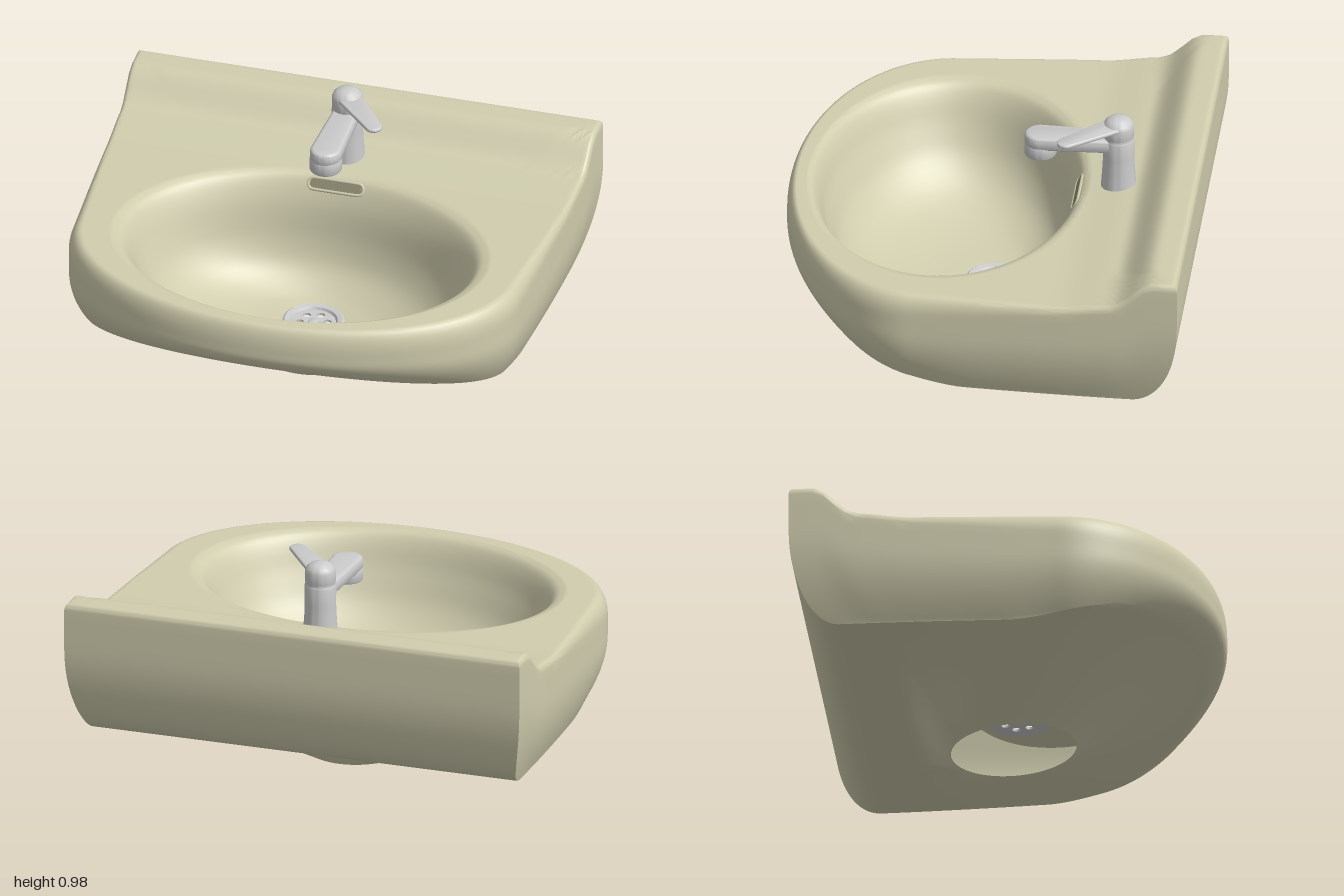
import * as THREE from 'three';
import { toCreasedNormals } from 'three/addons/utils/BufferGeometryUtils.js';

const smooth = THREE.MathUtils.smoothstep, lerp = THREE.MathUtils.lerp;
const ceramic = new THREE.MeshStandardMaterial({ color: 0xd0cdae, side: THREE.DoubleSide });
const metal = new THREE.MeshStandardMaterial({ color: 0xcccccc });

function add(parent, name, geometry, material, x = 0, y = 0, z = 0) {
  const mesh = new THREE.Mesh(geometry, material);
  mesh.name = name;
  mesh.position.set(x, y, z);
  parent.add(mesh);
  return mesh;
}

// Plan outline: half ellipse at the front, straight sides and back
function planOutline() {
  const pts = [], front = 64, side = 24, back = 40;
  for (let i = 0; i < front; i++) {
    const t = Math.PI * i / front;
    pts.push([0.965 * Math.cos(t), 0.25 + 0.61 * Math.sin(t)]);
  }
  for (let i = 0; i < side; i++) pts.push([-lerp(0.965, 1, Math.sin(i / side * Math.PI / 2)), lerp(0.25, -0.86, i / side)]);
  for (let i = 0; i < back; i++) pts.push([lerp(-1, 1, i / back), -0.86]);
  for (let i = side; i > 0; i--) pts.push([lerp(0.965, 1, Math.sin(i / side * Math.PI / 2)), lerp(0.25, -0.86, i / side)]);
  return pts;
}

// Height of the deck, rising to the ledge at the back
const deckY = z => 0.645 + 0.025 * smooth(-z, 0.35, 0.6) + 0.12 * smooth(-z, 0.58, 0.76);

// One continuous skin: bowl, deck, rounded edge, wall, underside
function basinGeometry() {
  const outline = planOutline(), n = outline.length, rings = [];
  const ring = fn => rings.push(outline.map(([X, Z]) => fn(X, Z)));
  const angle = (X, Z) => Math.atan2((Z - 0.2) / 0.58, X / 0.8);
  const shrink = (X, Z, k) => [X * (1 - k), 0.25 + (Z - 0.25) * (1 - k)];
  const rx = Z => 0.02 + 0.04 * smooth(Z, -0.6, 0.6);
  const ry = Z => 0.03 + 0.07 * smooth(Z, -0.6, 0.6);
  const bottomY = Z => 0.19 + 0.21 * Math.pow(Math.max(Z, 0) / 0.86, 1.5);

  // bowl: x radius, height, z radius
  const bowl = new THREE.CatmullRomCurve3([
    [0.11, 0.15, 0.11], [0.3, 0.18, 0.24], [0.5, 0.26, 0.39], [0.61, 0.36, 0.46],
    [0.67, 0.47, 0.495], [0.72, 0.58, 0.53], [0.755, 0.627, 0.555], [0.8, 0.645, 0.58],
  ].map(p => new THREE.Vector3(...p)));
  for (let j = 0; j <= 28; j++) {
    const p = bowl.getPoint(j / 28), zc = 0.2 * Math.min(1, (p.x - 0.11) / 0.58);
    ring((X, Z) => {
      const a = angle(X, Z);
      return [p.x * Math.cos(a), p.y, zc + p.z * Math.sin(a)];
    });
  }
  // deck
  for (let j = 1; j <= 30; j++) ring((X, Z) => {
    const a = angle(X, Z), [ex, ez] = shrink(X, Z, rx(Z));
    const z = lerp(0.2 + 0.58 * Math.sin(a), ez, j / 30);
    return [lerp(0.8 * Math.cos(a), ex, j / 30), deckY(z), z];
  });
  // rounded edge
  for (let j = 1; j <= 7; j++) ring((X, Z) => {
    const a = j / 7 * Math.PI / 2;
    const [x, z] = shrink(X, Z, rx(Z) * (1 - Math.sin(a)));
    return [x, deckY(z) - ry(Z) * (1 - Math.cos(a)), z];
  });
  // wall, tucking in towards the bottom
  const wall = (X, Z, t) => {
    const u = Math.max(0, (t - 0.3) / 0.7);
    const k = Z > 0.25 ? 0.13 * u * u : 0.18 * (1 - Math.sqrt(1 - u * u));
    return [X * (1 - 0.07 * u * u), lerp(deckY(Z) - ry(Z), bottomY(Z), t), 0.25 + (Z - 0.25) * (1 - k)];
  };
  for (let j = 1; j <= 20; j++) ring((X, Z) => wall(X, Z, Math.sin(j / 20 * Math.PI / 2)));
  // underside, dropping to the open foot
  for (let j = 1; j <= 20; j++) ring((X, Z) => {
    const f = j / 20, a = angle(X, Z), [x, y, z] = wall(X, Z, 1);
    const hz = 0.26 * Math.sin(a);
    const drop = lerp(lerp(f, f * f, 0.25), smooth(f, 0.5, 1.1) / smooth(1, 0.5, 1.1), smooth(-Z, 0.1, 0.8));
    return [lerp(x, 0.25 * Math.cos(a), f), lerp(y, 0.02 + 0.075 * hz, drop), lerp(z, hz - 0.02, f)];
  });

  const index = [];
  for (let j = 0; j < rings.length - 1; j++) for (let i = 0; i < n; i++) {
    const a = j * n + i, b = j * n + (i + 1) % n;
    index.push(a, b, a + n, b, b + n, a + n);
  }
  const g = new THREE.BufferGeometry();
  g.setAttribute('position', new THREE.Float32BufferAttribute(rings.flat(2), 3));
  g.setIndex(index);
  return toCreasedNormals(g, 0.7);
}

// Rounded bar from the origin along +y of the shape, with end radii r0 and r1
function barShape(r0, r1, length) {
  const s = new THREE.Shape();
  s.absarc(0, length, r1, 0, Math.PI, false);
  s.absarc(0, 0, r0, Math.PI, Math.PI * 2, false);
  s.closePath();
  return s;
}

// Flat slab lying in xz, running towards +z
function slab(shape, height, bevel) {
  const g = new THREE.ExtrudeGeometry(shape, {
    depth: height - 2 * bevel, bevelEnabled: true, bevelThickness: bevel,
    bevelSize: bevel, bevelOffset: -bevel, bevelSegments: 4, curveSegments: 24,
  });
  g.rotateX(Math.PI / 2);
  g.translate(0, height - bevel, 0);
  return toCreasedNormals(g, 0.6);
}

function lathe(points) {
  return toCreasedNormals(new THREE.LatheGeometry(points.map(p => new THREE.Vector2(...p)), 48), 0.6);
}

function makeFaucet() {
  const faucet = new THREE.Group();
  faucet.name = 'faucet';
  faucet.position.z = -0.51;
  add(faucet, 'faucetBody', lathe([
    [0.075, 0.63], [0.073, 0.66], [0.066, 0.76], [0.065, 0.8], [0.066, 0.878], [0.062, 0.884],
    [0.062, 0.89], [0.064, 0.896], [0.064, 0.94], [0.058, 0.957], [0.042, 0.971], [0.02, 0.979], [0, 0.981],
  ]), metal);
  add(faucet, 'spout', slab(barShape(0.055, 0.066, 0.325), 0.06, 0.018), metal, 0, 0.828, 0);
  add(faucet, 'spoutOutlet', lathe([
    [0, 0.79], [0.05, 0.79], [0.052, 0.785], [0.064, 0.785], [0.067, 0.79], [0.067, 0.835], [0.06, 0.85],
  ]), metal, 0, 0, 0.325);
  const lever = add(faucet, 'lever', slab(barShape(0.055, 0.036, 0.265), 0.018, 0.007), metal, 0, 0.934, 0);
  lever.rotation.y = 0.7;
  return faucet;
}

function makeDrain() {
  const drain = new THREE.Group();
  drain.name = 'drain';
  drain.position.y = 0.15;
  add(drain, 'drainRing', lathe([
    [0.092, -0.012], [0.126, -0.012], [0.128, 0.006], [0.12, 0.012], [0.1, 0.008], [0.092, -0.004], [0.092, -0.012],
  ]), metal);
  // strainer with a circle of holes
  const disc = new THREE.Shape().absarc(0, 0, 0.094, 0, Math.PI * 2);
  for (let i = 0; i < 6; i++) {
    const a = i * Math.PI / 3 + 0.25;
    disc.holes.push(new THREE.Path().absarc(0.058 * Math.cos(a), 0.058 * Math.sin(a), 0.017, 0, Math.PI * 2, true));
  }
  const plate = new THREE.ExtrudeGeometry(disc, { depth: 0.01, bevelEnabled: false, curveSegments: 20 });
  add(drain, 'strainer', toCreasedNormals(plate.rotateX(-Math.PI / 2), 0.6), metal, 0, -0.012, 0);
  add(drain, 'drainScrew', lathe([[0.022, -0.004], [0.022, 0.002], [0.017, 0.005], [0, 0.006]]), metal);
  return drain;
}

// Overflow slot set in the back of the bowl
function makeOverflow() {
  const overflow = new THREE.Group();
  overflow.name = 'overflow';
  const path = new THREE.CurvePath();
  const pts = barShape(0.024, 0.024, 0.19).getPoints(10).map(p => new THREE.Vector3(p.y - 0.095, p.x, 0));
  const curve = new THREE.CatmullRomCurve3(pts.slice(0, -1), true, 'centripetal');
  add(overflow, 'overflowRim', new THREE.TubeGeometry(curve, 64, 0.007, 8, true), ceramic);
  const inside = new THREE.MeshStandardMaterial({ color: 0x8d8a70, side: THREE.DoubleSide });
  const hole = add(overflow, 'overflowOpening', new THREE.ShapeGeometry(barShape(0.024, 0.024, 0.19), 10), inside, 0.095, 0, 0.003);
  hole.rotation.z = Math.PI / 2;
  overflow.position.set(0, 0.604, -0.338);
  overflow.rotation.x = -0.52;
  return overflow;
}

export function createModel() {
  const model = new THREE.Group();
  model.name = 'washbasin';
  add(model, 'basin', basinGeometry(), ceramic);
  model.add(makeFaucet(), makeDrain(), makeOverflow());
  return model;
}
